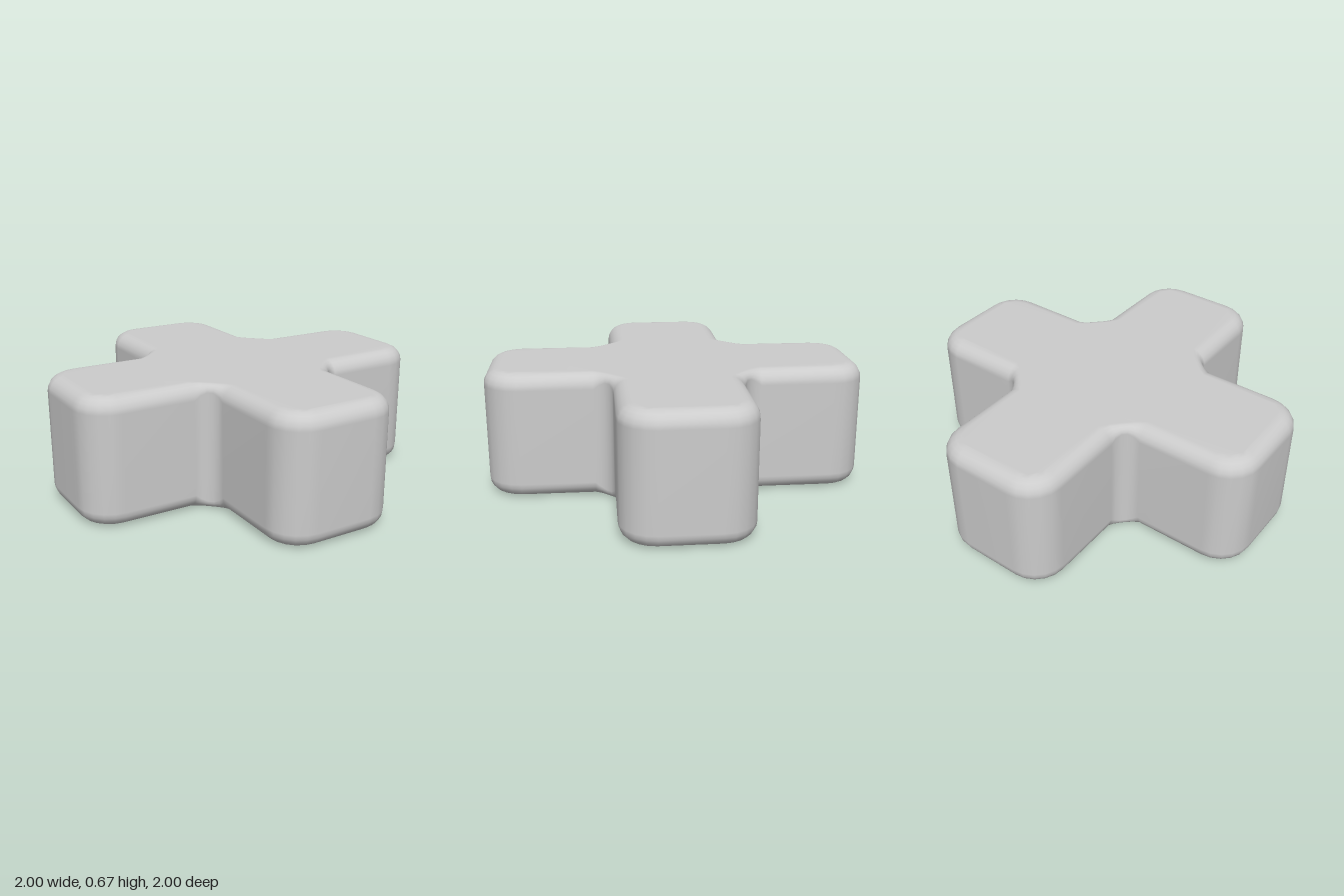
import * as THREE from 'three';

const HEIGHT = 0.667, HALF = 0.333; // thickness and half width of an arm
const CORNER = 0.18, FILLET = 0.1, BEVEL = 0.08;
const STEPS = 5;

// Outline points with outward normals and a bevel size, one arm at a time
function plusOutline() {
  const points = [];
  const arc = (turn, cx, cz, r, from, to, sign) => {
    for (let i = 0; i <= STEPS; i++) {
      const t = i / STEPS, a = from + (to - from) * t;
      // The bevel narrows in the inner corners
      const bevel = sign < 0 ? BEVEL * (1 - 0.5 * Math.sin(Math.PI * t)) : BEVEL;
      points.push({
        p: new THREE.Vector2(cx + r * Math.cos(a), cz + r * Math.sin(a)).rotateAround(new THREE.Vector2(), turn),
        n: new THREE.Vector2(sign * Math.cos(a), sign * Math.sin(a)).rotateAround(new THREE.Vector2(), turn),
        bevel,
      });
    }
  };
  const q = Math.PI / 2;
  for (let k = 0; k < 4; k++) {
    arc(k * q, 1 - CORNER, CORNER - HALF, CORNER, -q, 0, 1);
    arc(k * q, 1 - CORNER, HALF - CORNER, CORNER, 0, q, 1);
    arc(k * q, HALF + FILLET, HALF + FILLET, FILLET, -q, -2 * q, -1);
  }
  return points;
}

// Rings of the outline stacked from bottom to top, closed by two caps
function plusGeometry() {
  const outline = plusOutline(), count = outline.length;
  const positions = [], index = [];
  const rings = 2 * (STEPS + 1);
  for (let j = 0; j < rings; j++) {
    const upper = j > STEPS;
    const t = (upper ? j - STEPS - 1 : STEPS - j) / STEPS * Math.PI / 2;
    for (const { p, n, bevel } of outline) {
      const inset = bevel * (1 - Math.cos(t)), drop = bevel * (1 - Math.sin(t));
      positions.push(p.x - n.x * inset, upper ? HEIGHT - drop : drop, p.y - n.y * inset);
    }
  }
  for (let j = 0; j < rings - 1; j++) {
    for (let i = 0; i < count; i++) {
      const a = j * count + i, b = j * count + (i + 1) % count;
      index.push(a, a + count, b, b, a + count, b + count);
    }
  }
  const contour = outline.map(({ p, n, bevel }) => p.clone().addScaledVector(n, -bevel));
  const top = (rings - 1) * count;
  for (const [a, b, c] of THREE.ShapeUtils.triangulateShape(contour, [])) {
    index.push(a, b, c, top + a, top + c, top + b);
  }
  const geometry = new THREE.BufferGeometry();
  geometry.setAttribute('position', new THREE.Float32BufferAttribute(positions, 3));
  geometry.setIndex(index);
  geometry.computeVertexNormals();
  return geometry;
}

export function createModel() {
  const group = new THREE.Group();
  group.name = 'roundedPlus';
  const body = new THREE.Mesh(plusGeometry(), new THREE.MeshStandardMaterial({ color: 0xcccccc }));
  body.name = 'plusBody';
  group.add(body);
  return group;
}
